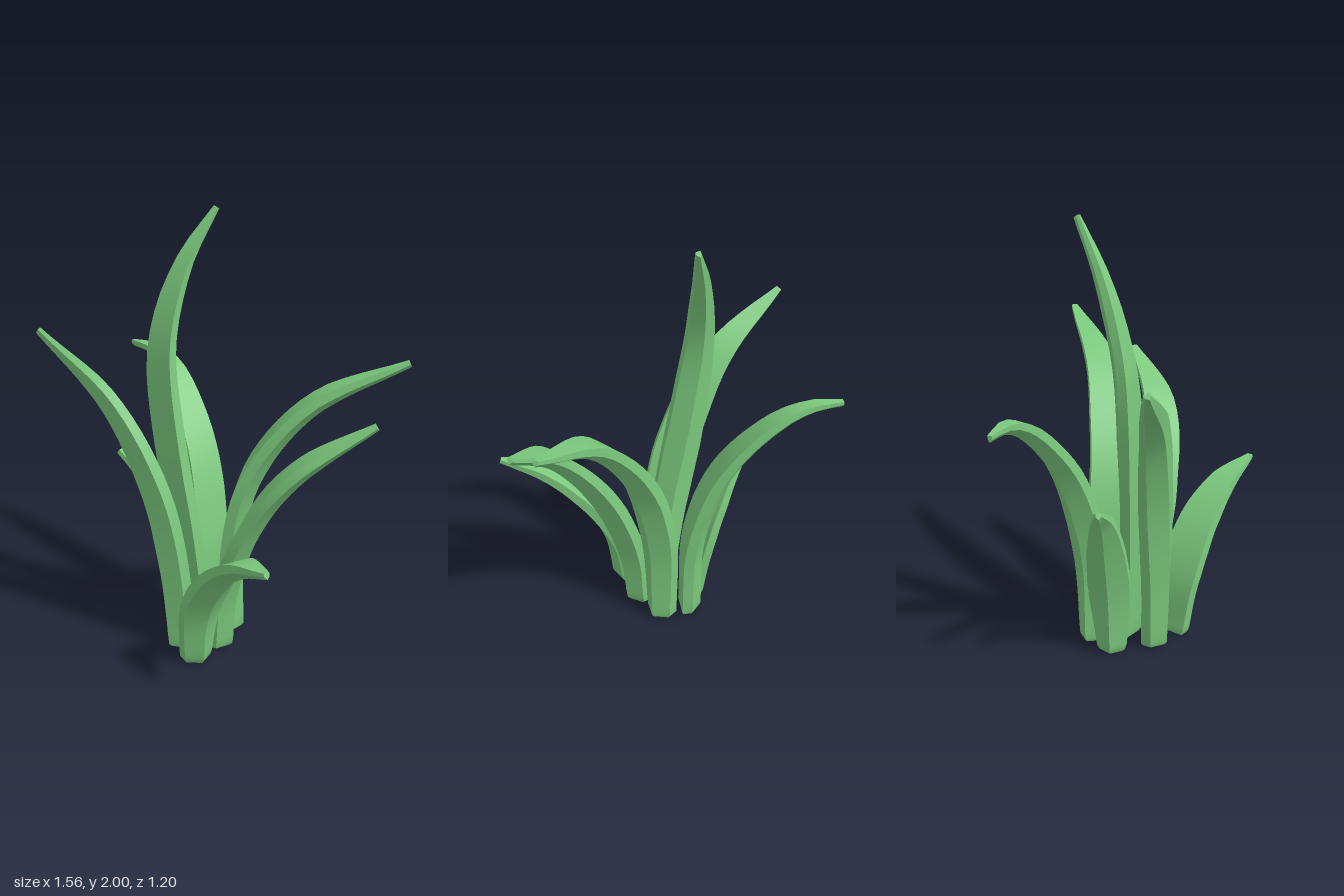
import * as THREE from 'three';

const SEGMENTS = 24;

// Relative blade width and thickness from base (0) to tip (1)
const WIDTH = [[0, 0.68], [0.12, 0.78], [0.3, 0.97], [0.42, 1], [0.6, 0.9], [0.78, 0.64], [0.92, 0.34], [1, 0.13]];
const THICKNESS = [[0, 1], [0.5, 0.97], [0.8, 0.75], [1, 0.3]];

function sample(table, t) {
  let i = 1;
  while (i < table.length - 1 && table[i][0] < t) i++;
  const [t0, v0] = table[i - 1], [t1, v1] = table[i];
  return THREE.MathUtils.lerp(v0, v1, (t - t0) / (t1 - t0));
}

// Five-sided section: flat inner face, thin side edges, keel on the outside
function ring(center, tangent, angle, w, d) {
  const side = new THREE.Vector3(-Math.sin(angle), 0, Math.cos(angle));
  side.addScaledVector(tangent, -side.dot(tangent)).normalize();
  const inner = new THREE.Vector3().crossVectors(side, tangent);
  const section = [[-w / 2, 0.4 * d], [w / 2, 0.4 * d], [w / 2, -0.1 * d], [0, -0.6 * d], [-w / 2, -0.1 * d]];
  return section.map(([u, v]) => center.clone().addScaledVector(side, u).addScaledVector(inner, v));
}

// Sweeps the section along the spine; each lengthwise face keeps its own vertices for sharp ridges
function leafGeometry(width, depth, turn, spine) {
  const curve = new THREE.CatmullRomCurve3(spine.map((p) => new THREE.Vector3(...p)));
  const rings = [];
  for (let i = 0; i <= SEGMENTS; i++) {
    const t = i / SEGMENTS;
    const angle = THREE.MathUtils.degToRad(THREE.MathUtils.lerp(turn[0], turn[1], t));
    const center = curve.getPointAt(t);
    const tangent = i === 0 ? new THREE.Vector3(0, 1, 0) : curve.getTangentAt(t);
    const w = width * sample(WIDTH, t), d = depth * sample(THICKNESS, t);
    if (i === 0) {
      // small bevel at the foot
      rings.push(ring(center, tangent, angle, w * 0.86, d * 0.8));
      center.y += 0.015;
    }
    rings.push(ring(center, tangent, angle, w, d));
  }

  const positions = [], index = [];
  const n = rings[0].length;
  for (let k = 0; k < n; k++) {
    const start = positions.length / 3;
    rings.forEach((r) => positions.push(...r[k].toArray(), ...r[(k + 1) % n].toArray()));
    for (let i = 0; i < rings.length - 1; i++) {
      const a = start + i * 2;
      index.push(a, a + 1, a + 3, a, a + 3, a + 2);
    }
  }
  // end caps
  [rings[0], rings[rings.length - 1]].forEach((r, end) => {
    const start = positions.length / 3;
    r.forEach((p) => positions.push(...p.toArray()));
    for (let k = 1; k < n - 1; k++) {
      if (end) index.push(start, start + k, start + k + 1);
      else index.push(start, start + k + 1, start + k);
    }
  });

  const geometry = new THREE.BufferGeometry();
  geometry.setAttribute('position', new THREE.Float32BufferAttribute(positions, 3));
  geometry.setIndex(index);
  geometry.computeVertexNormals();
  return geometry;
}

export function createModel() {
  const group = new THREE.Group();
  group.name = 'grassTuft';
  const green = new THREE.MeshStandardMaterial({ color: 0x7cca7e });
  green.name = 'leaf green';

  // turn: degrees from +x toward +z that the keel faces, at base and tip
  function addLeaf(name, width, depth, turn, ...spine) {
    const mesh = new THREE.Mesh(leafGeometry(width, depth, turn, spine), green);
    mesh.name = name;
    group.add(mesh);
  }

  addLeaf('tallCentreLeaf', 0.17, 0.1, [-88, -110],
    [0.03, 0, 0.1], [-0.02, 0.5, 0.155], [-0.1, 0.95, 0.195], [-0.16, 1.4, 0.195], [-0.155, 1.75, 0.085], [-0.12, 1.99, -0.065]);
  addLeaf('backLeftLeaf', 0.205, 0.1, [-45, -45],
    [0.04, 0, -0.03], [0.055, 0.45, -0.025], [0.14, 0.82, -0.065], [0.33, 1.17, -0.25], [0.58, 1.37, -0.59]);
  addLeaf('leftLeaf', 0.21, 0.1, [-28, -52],
    [0.14, 0, 0.1], [0.18, 0.3, 0.1], [0.32, 0.68, 0.065], [0.51, 0.97, -0.04], [0.695, 1.18, -0.31]);
  addLeaf('frontLeftLeaf', 0.2, 0.1, [5, 8],
    [0.19, 0, 0.27], [0.235, 0.26, 0.275], [0.36, 0.475, 0.28], [0.55, 0.635, 0.3], [0.775, 0.71, 0.325]);
  addLeaf('frontLeaf', 0.2, 0.1, [85, 100],
    [0.03, 0, 0.26], [0.01, 0.38, 0.285], [-0.08, 0.8, 0.335], [-0.27, 1.18, 0.44], [-0.575, 1.435, 0.59]);
  addLeaf('frontRightLeaf', 0.19, 0.1, [155, 148],
    [-0.14, 0, 0.13], [-0.175, 0.3, 0.14], [-0.24, 0.52, 0.165], [-0.34, 0.72, 0.215], [-0.445, 0.81, 0.27]);
  addLeaf('rightLeaf', 0.17, 0.1, [175, 185],
    [-0.1, 0, -0.01], [-0.12, 0.45, -0.015], [-0.25, 0.85, -0.04], [-0.48, 1.125, -0.065], [-0.63, 1.195, -0.055], [-0.78, 1.195, -0.03]);

  return group;
}
